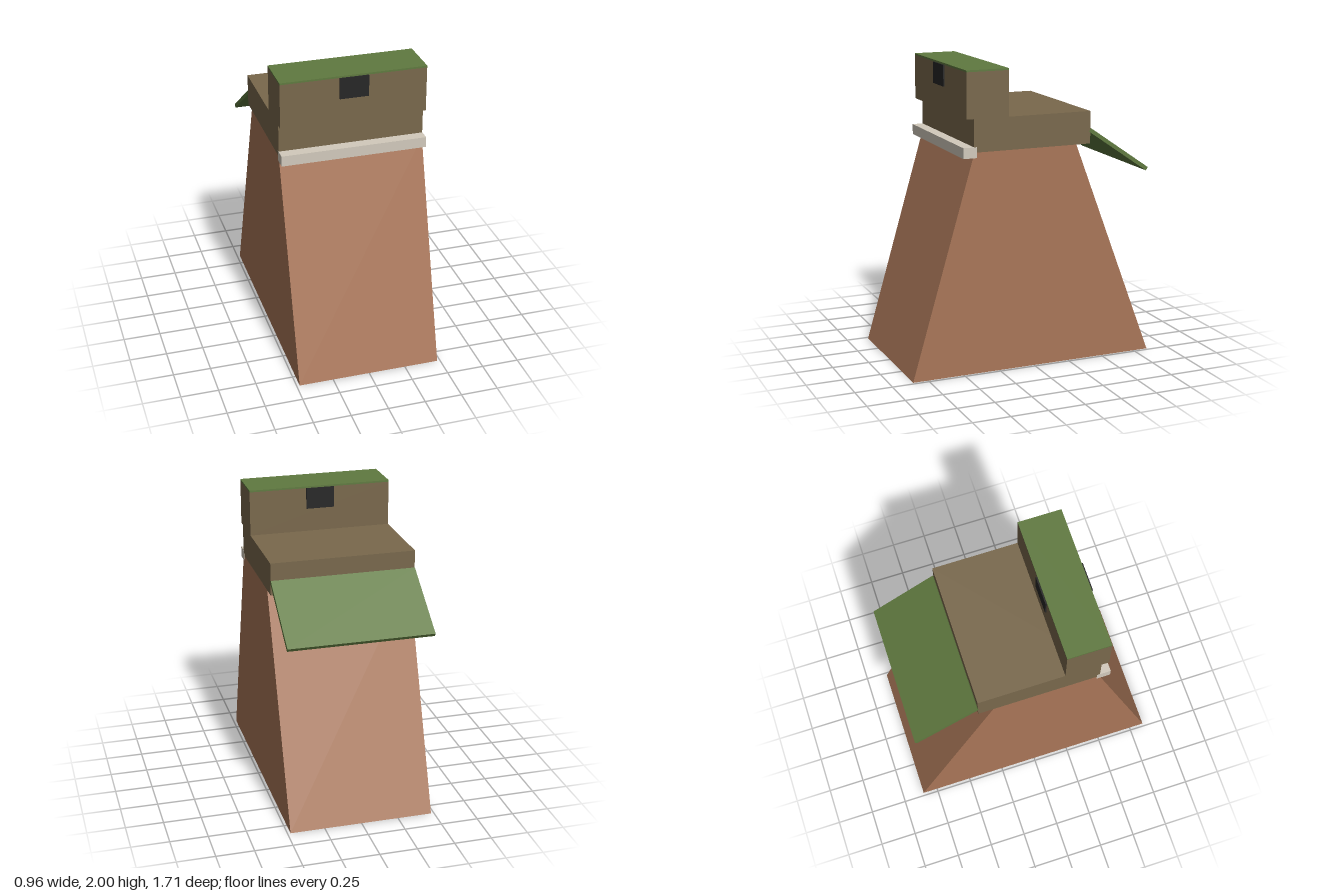
import * as THREE from 'three';

const paint = (name, color) => {
  const m = new THREE.MeshStandardMaterial({ color });
  m.name = name;
  return m;
};

export function createModel() {
  const brick = paint('brick', 0xa97658);
  const timber = paint('timber', 0x79684c);
  const green = paint('green', 0x607a40);
  const stone = paint('stone', 0xd2cabc);
  const black = paint('black', 0x262626);

  const W = 0.96;
  const model = new THREE.Group();
  model.name = 'taperedTower';

  const add = (name, geometry, material) => {
    const mesh = new THREE.Mesh(geometry, material);
    mesh.name = name;
    model.add(mesh);
    return mesh;
  };
  // Box given by its width and its y and z limits
  const box = (name, material, w, y0, y1, z0, z1) => {
    const mesh = add(name, new THREE.BoxGeometry(w, y1 - y0, z1 - z0), material);
    mesh.position.set(0, (y0 + y1) / 2, (z0 + z1) / 2);
    return mesh;
  };

  // Tapered brick base: side profile (-z, y) extruded across the width
  const profile = new THREE.Shape(
    [[-0.853, 0], [0.853, 0], [0.295, 1.475], [-0.42, 1.475]].map(([a, b]) => new THREE.Vector2(a, b))
  );
  const base = new THREE.ExtrudeGeometry(profile, { depth: W, bevelEnabled: false });
  base.translate(0, 0, -W / 2).rotateY(Math.PI / 2);
  add('base', base, brick);

  // Timber deck and raised front block with its green cap
  box('deck', timber, W, 1.475, 1.69, -0.395, 0.422);
  box('frontBlock', timber, W, 1.69, 1.988, 0.182, 0.472);
  box('cap', green, W, 1.988, 2, 0.182, 0.472);

  // Pale ledge along the front
  box('ledge', stone, W + 0.002, 1.44, 1.51, 0.402, 0.495);

  // Dark windows on the front and back of the block
  box('frontWindow', black, 0.19, 1.847, 1.988, 0.472, 0.481);
  box('backWindow', black, 0.19, 1.847, 1.988, 0.173, 0.182);

  // Sloping green awning at the back
  const start = new THREE.Vector2(-0.393, 1.565);
  const end = new THREE.Vector2(-0.822, 1.271);
  const awning = add('awning', new THREE.BoxGeometry(W, 0.026, start.distanceTo(end)), green);
  awning.position.set(0, (start.y + end.y) / 2, (start.x + end.x) / 2);
  awning.rotation.x = -Math.atan2(start.y - end.y, start.x - end.x);

  return model;
}
